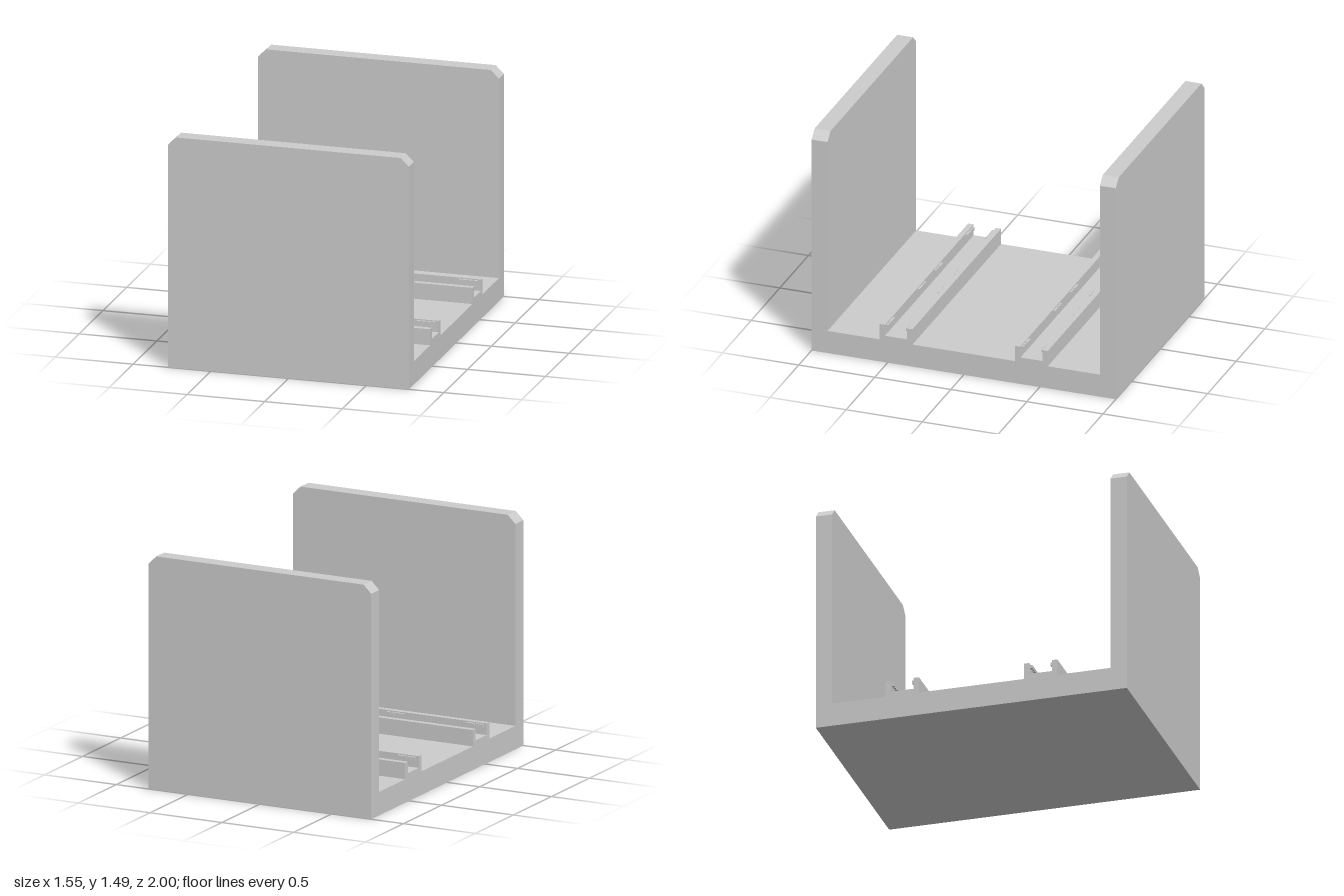
import * as THREE from 'three';

const W = 0.775;        // half width
const FLOOR = 0.15;     // floor thickness
const WALL_IN = 0.895;  // inner face of the end walls
const material = new THREE.MeshStandardMaterial({ color: 0xcccccc, flatShading: true });

function extrude(points, depth) {
  const shape = new THREE.Shape(points.map(([x, y]) => new THREE.Vector2(x, y)));
  return new THREE.ExtrudeGeometry(shape, { depth, bevelEnabled: false });
}

function part(name, geometry) {
  const mesh = new THREE.Mesh(geometry, material);
  mesh.name = name;
  return mesh;
}

function box(name, x0, x1, y0, y1, z0, z1) {
  const mesh = part(name, new THREE.BoxGeometry(x1 - x0, y1 - y0, z1 - z0));
  mesh.position.set((x0 + x1) / 2, (y0 + y1) / 2, (z0 + z1) / 2);
  return mesh;
}

// Upright end wall with chamfered top corners
function endWall(name, z) {
  const wall = part(name, extrude(
    [[-W, 0], [W, 0], [W, 1.435], [0.722, 1.487], [-0.722, 1.487], [-W, 1.435]], 1 - WALL_IN));
  wall.position.z = z;
  return wall;
}

// Raised catches on the inner face of a rail: one long pad and two short ribs each
function railCatches(side) {
  const group = new THREE.Group();
  group.name = 'railCatches';
  const face = side * 0.0725, tip = side * 0.058;
  const z0 = Math.min(face, tip), z1 = Math.max(face, tip);
  const spans = [[0.635, 0.695], [0.703, 0.723], [0.731, 0.755],
    [0.143, 0.203], [0.116, 0.135], [0.085, 0.108]];
  for (const mirror of [1, -1]) {
    for (const [a, b] of spans) {
      const x0 = Math.min(a * mirror, b * mirror), x1 = Math.max(a * mirror, b * mirror);
      group.add(box('catch', x0, x1, 0.227, 0.247, z0, z1));
    }
  }
  return group;
}

// Channel with two upright rails
function track(name, z) {
  const group = new THREE.Group();
  group.name = name;
  const channel = part('channel', extrude(
    [[-0.108, FLOOR], [0.108, FLOOR], [0.108, 0.254], [0.0725, 0.254], [0.0725, 0.18],
      [-0.0725, 0.18], [-0.0725, 0.254], [-0.108, 0.254]], 2 * W));
  channel.rotation.y = Math.PI / 2;
  channel.position.x = -W;
  group.add(channel, railCatches(1), railCatches(-1));
  group.position.z = z;
  return group;
}

export function createModel() {
  const model = new THREE.Group();
  model.name = 'cradle';
  model.add(
    box('floor', -W, W, 0, FLOOR, -WALL_IN, WALL_IN),
    endWall('frontWall', WALL_IN),
    endWall('backWall', -1),
    track('frontTrack', 0.445),
    track('backTrack', -0.445),
  );
  return model;
}
